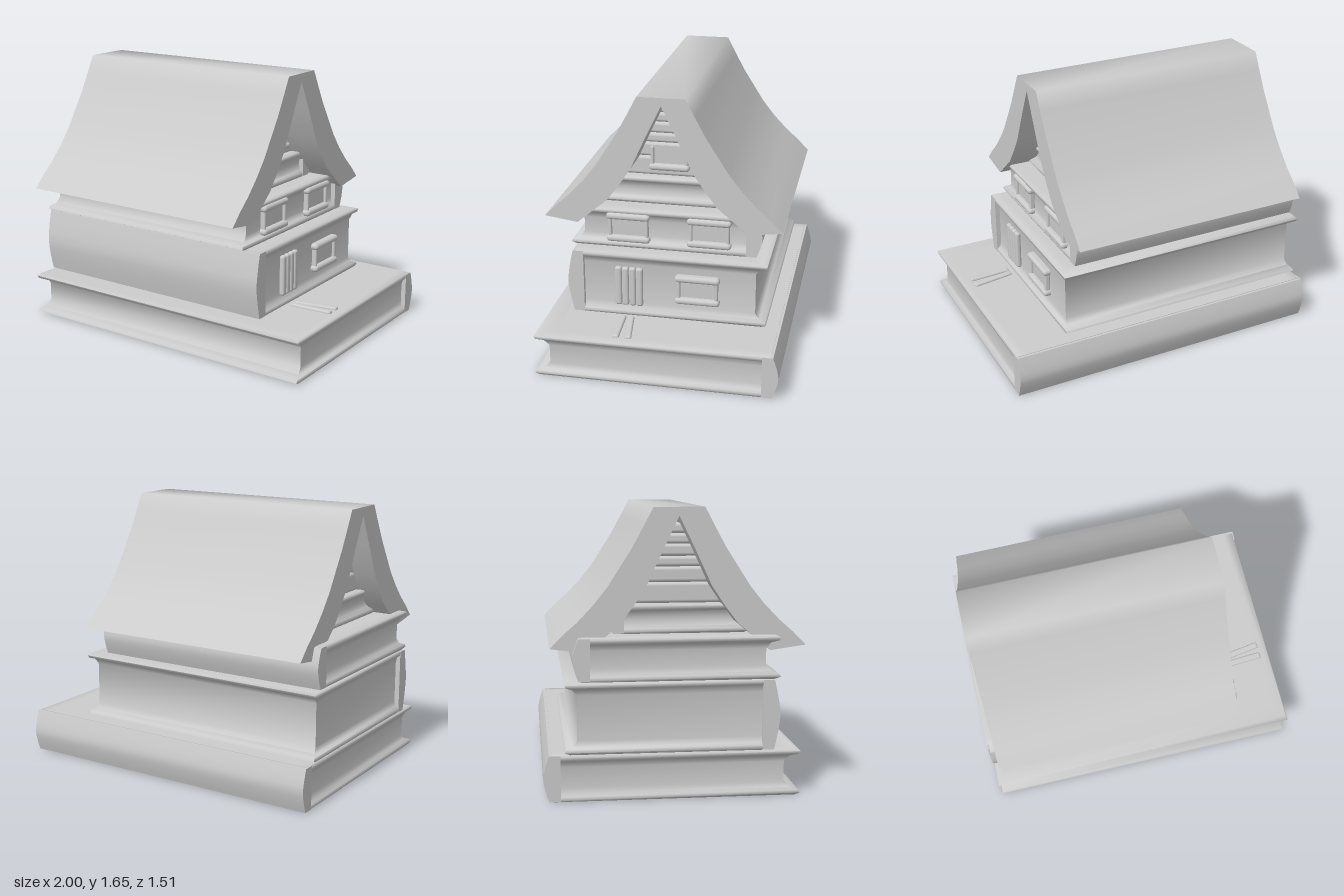
import * as THREE from 'three';
import { toCreasedNormals } from 'three/addons/utils/BufferGeometryUtils.js';
import { RoundedBoxGeometry } from 'three/addons/geometries/RoundedBoxGeometry.js';

const material = new THREE.MeshStandardMaterial({ color: 0xcccccc, side: THREE.DoubleSide });

function add(parent, name, geometry, x = 0, y = 0, z = 0) {
  const mesh = new THREE.Mesh(geometry, material);
  mesh.name = name;
  mesh.position.set(x, y, z);
  parent.add(mesh);
  return mesh;
}

// Extrudes a [z, y] outline along x, from x0 to x1
function extrudeAlongX(outline, x0, x1, crease) {
  const shape = new THREE.Shape(outline.map(([z, y]) => new THREE.Vector2(z, y)));
  const g = new THREE.ExtrudeGeometry(shape, { depth: x1 - x0, bevelEnabled: false });
  g.rotateY(-Math.PI / 2).translate(x1, 0, 0);
  return toCreasedNormals(g, crease);
}

// Stacks rectangular rings [x0, x1, y, z0, z1] into a closed body
function loftRings(rings, crease) {
  const pos = [], idx = [];
  for (const [x0, x1, y, z0, z1] of rings) {
    pos.push(x0, y, z1, x1, y, z1, x1, y, z0, x0, y, z0);
  }
  for (let r = 0; r < rings.length - 1; r++) {
    for (let i = 0; i < 4; i++) {
      const a = r * 4 + i, b = r * 4 + (i + 1) % 4;
      idx.push(a, b, b + 4, a, b + 4, a + 4);
    }
  }
  const t = (rings.length - 1) * 4;
  idx.push(0, 2, 1, 0, 3, 2, t, t + 1, t + 2, t, t + 2, t + 3);
  const g = new THREE.BufferGeometry();
  g.setAttribute('position', new THREE.Float32BufferAttribute(pos, 3));
  g.setIndex(idx);
  return toCreasedNormals(g, crease);
}

// A closed book lying flat; pageZ is the open edge, spineZ the outermost spine
function book(parent, name, { x0, x1, y0, y1, pageZ, spineZ, inset = 0.09 }) {
  const group = new THREE.Group();
  group.name = name;
  parent.add(group);
  const dir = Math.sign(pageZ - spineZ);

  // Covers curl smoothly into the recessed pages
  const lower = [[0, 0.07, 0.12], [0, 0.008, 0.03], [0.012, 0, 0], [0.028, 0.003, 0.008],
    [0.042, 0.022, inset * 0.65], [0.075, 0.03, inset]];
  const ring = (y, ix, iz) => {
    const p = pageZ - dir * iz, s = spineZ + dir * 0.05;
    return [x0 + ix, x1 - ix, y, Math.min(p, s), Math.max(p, s)];
  };
  const rings = lower.map(([y, ix, iz]) => ring(y0 + y, ix, iz));
  rings.push(...lower.slice().reverse().map(([y, ix, iz]) => ring(y1 - y, ix, iz)));
  add(group, 'coversAndPages', loftRings(rings, 1.35));

  // Bulging spine strip
  const outline = [[spineZ + dir * 0.1, y0 + 0.003]];
  for (let i = 0; i <= 8; i++) {
    const t = i / 8;
    const bulge = 0.035 * Math.pow(Math.abs(2 * t - 1), 1.4);
    outline.push([spineZ + dir * bulge, y0 + 0.003 + t * (y1 - y0 - 0.006)]);
  }
  outline.push([spineZ + dir * 0.1, y1 - 0.003]);
  if (dir > 0) outline.reverse();
  add(group, 'spine', extrudeAlongX(outline, x0, x1, 0.8));
}

// A window on a wall facing +x, centred on (x, y, z)
function windowFrame(parent, name, x, y, z, w, h, lintel = true) {
  const group = new THREE.Group();
  group.name = name;
  group.position.set(x, y, z);
  parent.add(group);
  add(group, 'pane', new THREE.BoxGeometry(0.02, h - 0.02, w * 0.8));
  const bar = new RoundedBoxGeometry(0.06, 0.042, w, 3, 0.02);
  add(group, 'sill', bar, 0.01, -h / 2 + 0.02, 0);
  if (lintel) add(group, 'lintel', bar, 0.01, h / 2 - 0.02, 0);
  for (const s of [-1, 1]) {
    add(group, 'post', new RoundedBoxGeometry(0.035, h - 0.03, 0.022, 2, 0.009), 0.01, 0, s * w * 0.42);
  }
}

export function createModel() {
  const model = new THREE.Group();
  model.name = 'bookHouse';

  // Stacked books forming the base and the two storeys
  book(model, 'baseBook', { x0: -1, x1: 1, y0: 0, y1: 0.27, pageZ: 0.72, spineZ: -0.755 });
  book(model, 'groundFloorBook', { x0: -1, x1: 0.645, y0: 0.27, y1: 0.68, pageZ: -0.63, spineZ: 0.6, inset: 0.07 });
  book(model, 'upperFloorBook', { x0: -0.99, x1: 0.545, y0: 0.68, y1: 0.93, pageZ: 0.6, spineZ: -0.585, inset: 0.08 });

  // Smaller books under the roof
  book(model, 'lowerAtticBook', { x0: -0.84, x1: 0.42, y0: 0.93, y1: 1.1, pageZ: 0.44, spineZ: -0.38, inset: 0.06 });
  const attic = [1.1, 1.22, 1.31, 1.37, 1.44, 1.5, 1.56];
  for (let i = 0; i < attic.length - 1; i++) {
    const h = attic[i + 1] - attic[i];
    const half = (1.6 - attic[i]) * 0.48 + 0.03;
    add(model, 'atticBook', new RoundedBoxGeometry(1.17, h, half * 2, 3, 0.02), -0.215, attic[i] + h / 2, 0.023);
  }

  // Open thick book as the roof: outer half-profile, then inner half-profile
  const outer = [[0.145, 1.655], [0.2, 1.55], [0.265, 1.43], [0.335, 1.32], [0.405, 1.21],
    [0.485, 1.11], [0.575, 1.015], [0.655, 0.945], [0.73, 0.868]];
  const inner = [[0.525, 0.84], [0.43, 0.92], [0.335, 1.0], [0.26, 1.1], [0.187, 1.21], [0.09, 1.42]];
  const half = [...outer, ...inner];
  const roof = [...half, [0, 1.605], ...half.slice().reverse().map(([z, y]) => [-z, y])]
    .map(([z, y]) => [z + 0.022, y]).reverse();
  add(model, 'roof', extrudeAlongX(roof, -0.945, 0.58, 1.15));

  // Windows
  windowFrame(model, 'upperWindow', 0.52, 0.81, 0.24, 0.27, 0.185);
  windowFrame(model, 'upperWindow', 0.52, 0.81, -0.26, 0.27, 0.185);
  windowFrame(model, 'groundWindow', 0.62, 0.473, -0.207, 0.275, 0.185);
  windowFrame(model, 'atticWindow', 0.39, 1.233, 0.01, 0.25, 0.165, false);

  // Door made of upright planks
  for (let i = 0; i < 4; i++) {
    add(model, 'doorPlank', new RoundedBoxGeometry(0.035, 0.255, 0.043, 3, 0.015), 0.63, 0.463, 0.153 + i * 0.0435);
  }

  // Loose planks leading to the door
  for (const [z, turn] of [[0.177, 0.16], [0.24, 0.06]]) {
    const plank = add(model, 'pathPlank', new RoundedBoxGeometry(0.27, 0.03, 0.042, 3, 0.012), 0.805, 0.27, z);
    plank.rotation.y = turn;
  }
  return model;
}
